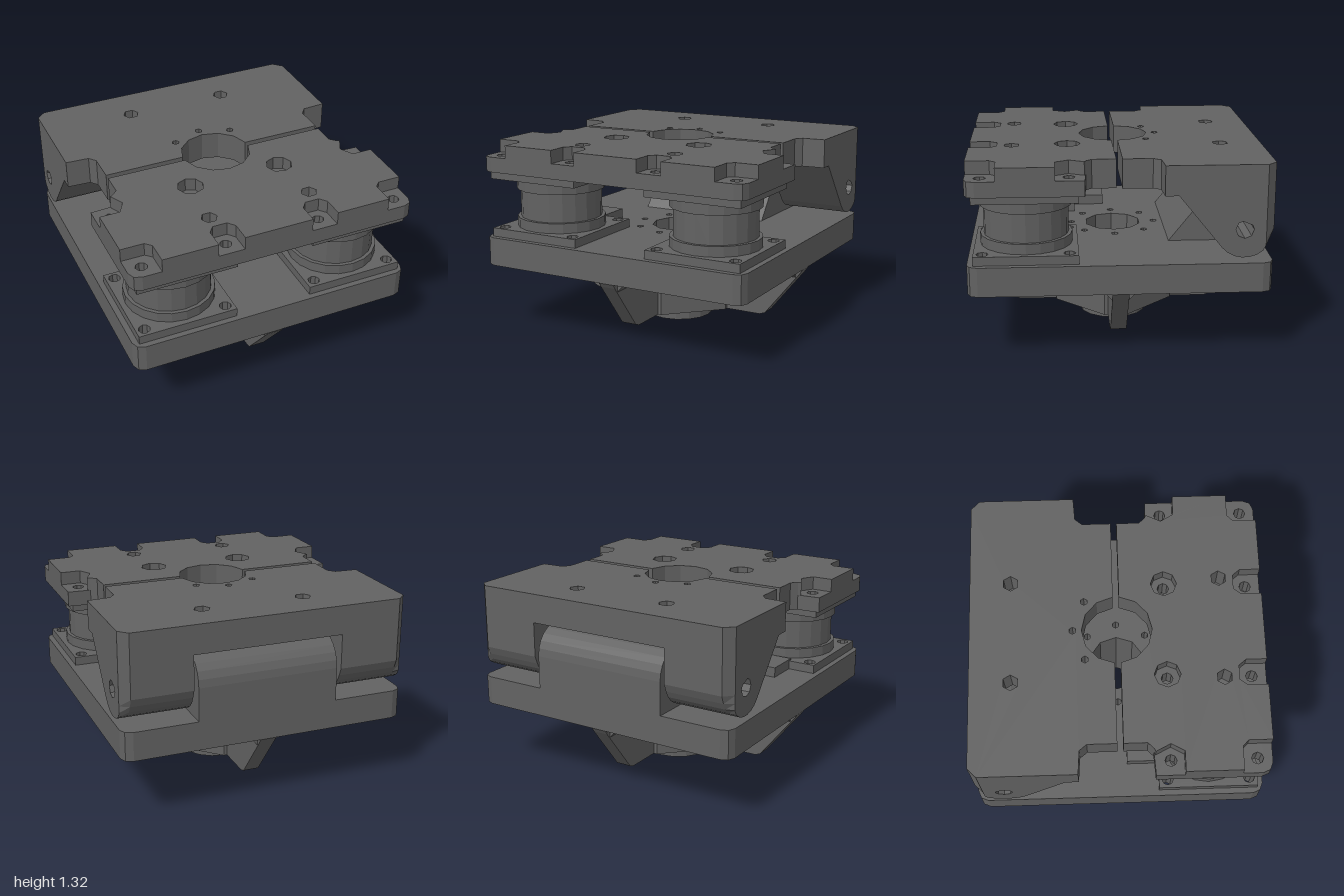
import * as THREE from 'three';

const mat = new THREE.MeshStandardMaterial({ color: 0x626262, flatShading: true });

// points on an arc, angles in degrees
function arc(cx, cy, r, a0, a1, n) {
  return Array.from({ length: n + 1 }, (_, i) => {
    const a = THREE.MathUtils.degToRad(a0 + (a1 - a0) * i / n);
    return [cx + r * Math.cos(a), cy + r * Math.sin(a)];
  });
}
const ring = (x, y, r, n = 8) => arc(x, y, r, 0, 360 - 360 / n, n - 1);
const toVecs = pts => pts.map(p => new THREE.Vector2(p[0], p[1]));

function extrude(pts, holes, depth) {
  const shape = new THREE.Shape(toVecs(pts));
  for (const h of holes) shape.holes.push(new THREE.Path(toVecs(h)));
  return new THREE.ExtrudeGeometry(shape, { depth, bevelEnabled: false });
}
// plan outline [x, z] between two heights
const slab = (pts, holes, y0, y1) =>
  extrude(pts, holes, y1 - y0).rotateX(Math.PI / 2).translate(0, y1, 0);
// side profile [z, y] between two x positions
const side = (pts, holes, x0, x1) =>
  extrude(pts, holes, x1 - x0).rotateY(-Math.PI / 2).translate(x1, 0, 0);
// half outline running from the middle outwards and back, completed by its mirror image
const mirrored = half => half.concat(half.map(([x, z]) => [-x, z]).reverse());

export function createModel() {
  const model = new THREE.Group();
  const add = (name, geo, parent = model) => {
    const m = new THREE.Mesh(geo, mat);
    m.name = name;
    parent.add(m);
  };

  // hole patterns
  const bore = ring(0, 0, 0.2, 10);
  const hubHoles = ring(0, 0, 0.3, 8).map(([x, z]) => ring(x, z, 0.025, 6));
  const bolts = [];
  for (const x of [-0.9, -0.33, 0.33, 0.9])
    for (const z of [0.33, 0.9]) bolts.push(ring(x, z, 0.04));

  // base plate with chamfered corners
  const c = [[1, 0.93], [0.98, 0.98], [0.93, 1]];
  const plate = mirrored([...c.map(([x, z]) => [z, -x]), ...c]);
  add('basePlate', slab(plate, [bore, ...hubHoles, ...bolts], 0.46, 0.66));

  // hub core below the plate and its spigot
  const core = [[0.42, 0.08], [0.08, 0.42], [-0.08, 0.42], [-0.42, 0.08],
    [-0.42, -0.08], [-0.08, -0.42], [0.08, -0.42], [0.42, -0.08]];
  add('hubCore', slab(core, [bore, ...hubHoles], 0.09, 0.46));
  add('hubSpigot', slab(ring(0, 0, 0.24, 16), [bore], 0, 0.09));

  // four tapering ribs with fillets against the plate
  const ribProfile = [[0.4, 0.09], [0.68, 0.09], [0.72, 0.105], [0.98, 0.43], [1, 0.46], [0.4, 0.46]];
  for (let i = 0; i < 4; i++) {
    const arm = new THREE.Group();
    arm.name = 'rib';
    arm.rotation.y = i * Math.PI / 2;
    add('ribWeb', side(ribProfile, [], -0.055, 0.055), arm);
    add('ribFillet', extrude([[-0.11, 0.46], [-0.055, 0.4], [0.055, 0.4], [0.11, 0.46]], [], 0.55)
      .translate(0, 0, 0.4), arm);
    add('hubFillet', side([[0.35, 0.4], [0.42, 0.46], [0.35, 0.46]], [], -0.25, 0.25)
      .rotateY(Math.PI / 4), arm);
    model.add(arm);
  }

  // two spools between square flanges
  for (const s of [-1, 1]) {
    const mount = new THREE.Group();
    mount.name = 'spoolMount';
    mount.position.set(s * 0.615, 0, 0.615);
    const square = [[-0.345, -0.345], [0.345, -0.345], [0.345, 0.345], [-0.345, 0.345]];
    const holes = [-1, 1].flatMap(a => [-1, 1].map(b => ring(a * 0.285, b * 0.285, 0.04)));
    add('lowerFlange', slab(square, holes, 0.66, 0.72), mount);
    add('upperFlange', slab(square, holes, 1.07, 1.13), mount);
    const profile = [[0, 0.72], [0.31, 0.72], [0.31, 0.79], [0.285, 0.79],
      [0.285, 0.99], [0.31, 0.99], [0.31, 1.07], [0, 1.07]];
    add('spool', new THREE.LatheGeometry(toVecs(profile), 20), mount);
    model.add(mount);
  }

  // small tab behind one lower flange
  add('flangeTab', new THREE.BoxGeometry(0.3, 0.07, 0.25).translate(-0.615, 0.695, 0.175));

  // front top block: full lower layer, upper layer notched around the bolts
  const mouth = arc(0, 0, 0.24, 90, 5, 3);
  const neck = [...mouth, [0.8, 0.02], [0.8, 0.18], [0.84, 0.22]];
  const frontHex = [-0.36, 0.36].map(x => ring(x, 0.71, 0.055, 6));
  const pockets = [-0.33, 0.33].map(x => ring(x, 0.33, 0.09));
  add('frontBlockLower', slab(mirrored([...neck, [1, 0.23], ...c]), [...bolts, ...frontHex], 1.125, 1.23));
  add('frontBlockUpper', slab(mirrored([...neck, [0.86, 0.23], [0.81, 0.33], [0.86, 0.42], [1, 0.42],
    [1, 0.8], [0.84, 0.8], [0.8, 0.84], [0.8, 1], [0.42, 1], [0.42, 0.86], [0.38, 0.81],
    [0.28, 0.81], [0.24, 0.86], [0.24, 1]]), [...pockets, ...frontHex], 1.23, 1.32));

  // rear top block
  const rear = mirrored([...mouth.map(([x, z]) => [x, -z]), [0.8, -0.02], [0.8, -0.22],
    [0.84, -0.27], [1, -0.28], [1, -0.94], [0.94, -1]]);
  const rearHoles = [[-0.21, -0.22], [0.21, -0.22], [0, -0.3]].map(([x, z]) => ring(x, z, 0.025, 6));
  const rearHex = [-0.36, 0.36].map(x => ring(x, -0.72, 0.055, 6));
  add('rearBlock', slab(rear, [...rearHoles, ...rearHex], 1.12, 1.32));

  // hinge ears hanging from the rear block, outer slice bevelled at the back
  const pin = ring(-0.8, 0.89, 0.06);
  const ear = [[-0.37, 1.12], ...arc(-0.8, 0.89, 0.19, -40, -160, 8), [-1, 0.88], [-1, 1.12]];
  for (const s of [-1, 1]) {
    const [a, b] = s > 0 ? [0.52, 0.94] : [-0.94, -0.52];
    add('hingeEar', side(ear, [pin], a, b));
    const outer = side(ear, [pin], s > 0 ? 0.94 : -1, s > 0 ? 1 : -0.94);
    const p = outer.attributes.position;
    for (let i = 0; i < p.count; i++)
      if (Math.abs(p.getX(i)) > 0.99) p.setZ(i, Math.max(p.getZ(i), -0.94));
    outer.computeVertexNormals();
    add('hingeEarBevel', outer);
  }

  // hinge knuckle standing on the base plate
  const knuckle = [[-0.36, 0.66], ...arc(-0.8, 0.89, 0.2, 40, 180, 9), [-1, 0.66]];
  add('hingeKnuckle', side(knuckle, [pin], -0.49, 0.49));

  return model;
}
